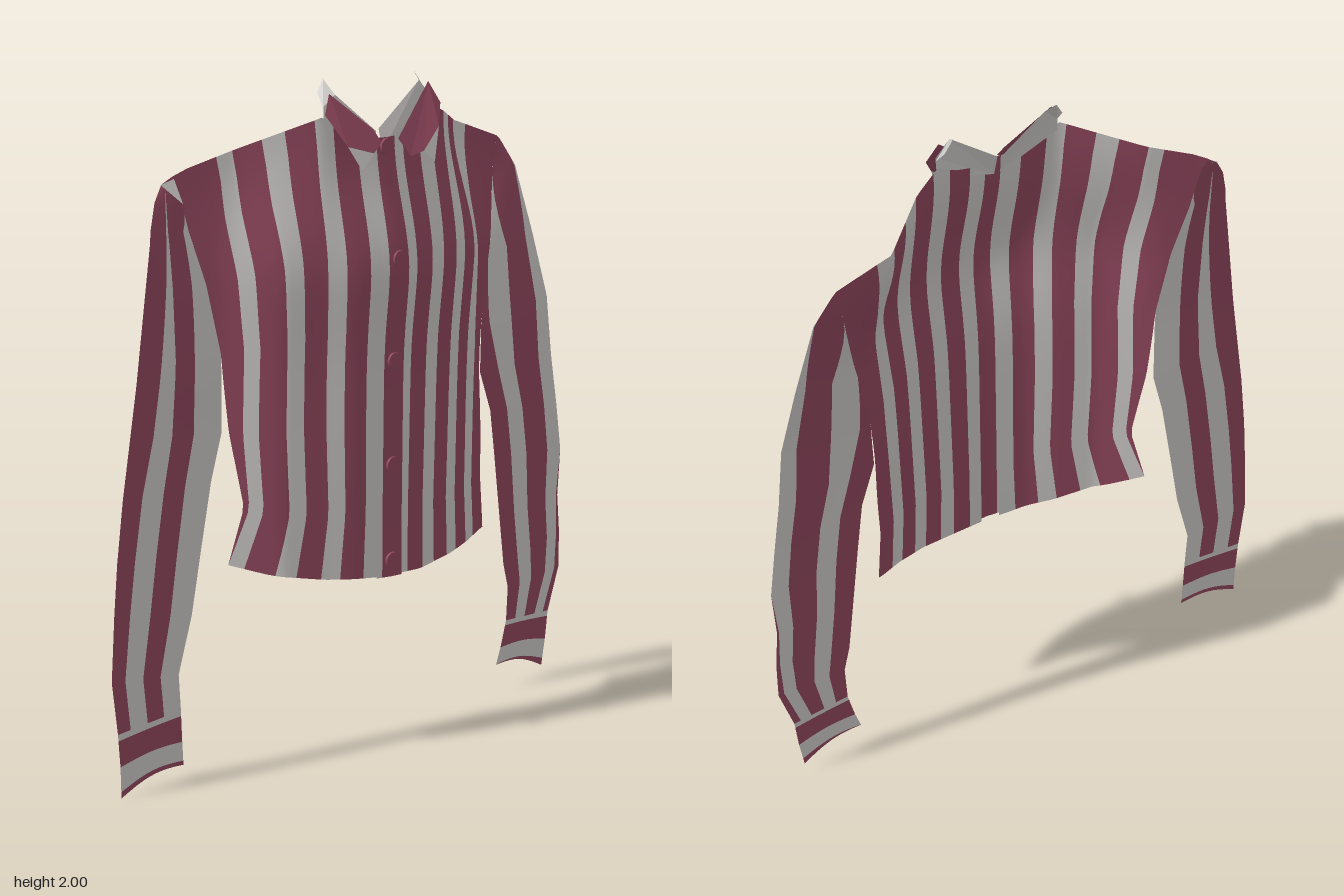
import * as THREE from 'three';

const red = new THREE.MeshStandardMaterial({ color: 0x90475e, side: THREE.DoubleSide });
red.name = 'wine red';
const white = new THREE.MeshStandardMaterial({ color: 0xcdcac8, side: THREE.DoubleSide });
white.name = 'off white';
const mats = [red, white];
const R = 0, W = 1;

const { lerp, clamp, smoothstep } = THREE.MathUtils;

// piecewise linear lookup in a table of [key, value]
function look(table, k) {
  if (k <= table[0][0]) return table[0][1];
  for (let i = 1; i < table.length; i++) {
    const [a, va] = table[i - 1], [b, vb] = table[i];
    if (k <= b) return lerp(va, vb, (k - a) / (b - a));
  }
  return table[table.length - 1][1];
}

// value at v in a list of evenly spaced values
function along(list, v) {
  if (list.length === 1) return list[0];
  const t = v * (list.length - 1), i = Math.min(Math.floor(t), list.length - 2);
  return clamp(lerp(list[i], list[i + 1], t - i), 0, 1);
}

// cloth sheet: point(u, v) gives the surface, each stripe edge is a list of u from v=0 to v=1
function sheet(name, point, first, bounds, rows = 24, sub = 3) {
  const edges = [[0], ...bounds, [1]], pos = [], index = [];
  const cols = (edges.length - 1) * sub;
  const geo = new THREE.BufferGeometry();
  for (let c = 0; c <= cols; c++) {
    const s = Math.min(Math.floor(c / sub), edges.length - 2), f = c / sub - s;
    for (let r = 0; r <= rows; r++) {
      const v = r / rows;
      pos.push(...point(lerp(along(edges[s], v), along(edges[s + 1], v), f), v));
    }
  }
  for (let c = 0; c < cols; c++) {
    const start = index.length;
    for (let r = 0; r < rows; r++) {
      const a = c * (rows + 1) + r, b = a + rows + 1;
      index.push(a, b, b + 1, a, b + 1, a + 1);
    }
    geo.addGroup(start, index.length - start, (first + Math.floor(c / sub)) % 2);
  }
  geo.setAttribute('position', new THREE.Float32BufferAttribute(pos, 3));
  geo.setIndex(index);
  geo.computeVertexNormals();
  const mesh = new THREE.Mesh(geo, mats);
  mesh.name = name;
  return mesh;
}

// small convex piece of cloth as a fan of triangles
function patch(name, mat, pts) {
  const pos = [];
  for (let i = 1; i < pts.length - 1; i++) pos.push(...pts[0], ...pts[i], ...pts[i + 1]);
  const geo = new THREE.BufferGeometry();
  geo.setAttribute('position', new THREE.Float32BufferAttribute(pos, 3));
  geo.computeVertexNormals();
  const mesh = new THREE.Mesh(geo, mat);
  mesh.name = name;
  return mesh;
}

// body outline, and depth across x at the hem, chest and shoulder
const hem = [[-0.45, 0.63], [-0.35, 0.595], [-0.2, 0.565], [-0.05, 0.55], [0.12, 0.545], [0.3, 0.565], [0.44, 0.585]];
const topEdge = [[-0.57, 1.755], [-0.53, 1.775], [-0.4, 1.82], [-0.19, 1.905], [-0.15, 1.87], [0, 1.82],
  [0.15, 1.87], [0.21, 1.91], [0.28, 1.88], [0.5, 1.8], [0.62, 1.755]];
const hemZ = [[-0.45, -0.078], [-0.4, -0.045], [-0.32, 0.01], [-0.2, 0.05], [-0.12, 0.08], [0, 0.1], [0.12, 0.102], [0.25, 0.085],
  [0.35, 0.055], [0.44, 0.015]];
const chestZ = [[-0.6, -0.155], [-0.45, -0.088], [-0.4, -0.048], [-0.32, 0.012], [-0.2, 0.05], [-0.12, 0.085], [0, 0.105],
  [0.12, 0.105], [0.25, 0.08], [0.4, 0.02], [0.47, -0.04], [0.6, -0.1]];
const shoulderZ = [[-0.6, -0.155], [-0.4, -0.085], [-0.2, 0.04], [0, 0.07], [0.2, 0.02], [0.3, -0.02], [0.46, -0.15], [0.62, -0.137]];

function bodyZ(x, y) {
  const low = lerp(look(hemZ, x), look(chestZ, x), smoothstep(y, 0.6, 1.15));
  const s = smoothstep(y, 1.42, look(topEdge, x));
  const bulge = 0.03 * Math.exp(-(((y - 1.5) / 0.2) ** 2)) * Math.max(0, 1 - Math.abs(x) / 0.45);
  return lerp(low, look(shoulderZ, x), s) + bulge;
}

function bodyPoint(inner, outer) {
  const [y0, x0] = outer[0], [y1, x1] = outer[outer.length - 1];
  return (u, v) => {
    const x = lerp(inner, look(outer, lerp(y0, y1, v)), u);
    const y = lerp(look(hem, lerp(inner, x0, u)), look(topEdge, lerp(inner, x1, u)), v);
    return [x, y, bodyZ(x, y)];
  };
}

// sleeve rows are [inner x, inner y, outer x, outer y] from the bottom up;
// the inner edge joins the body above the armpit
function sleevePoint(rows, innerZ, outerZ) {
  return (u, v) => {
    const t = v * (rows.length - 1), i = Math.min(Math.floor(t), rows.length - 2);
    const [xi, yi, xo, yo] = rows[i].map((a, k) => lerp(a, rows[i + 1][k], t - i));
    const zi = lerp(innerZ, bodyZ(xi, yi), smoothstep(yi, 1.0, 1.25));
    return [lerp(xi, xo, u), lerp(yi, yo, u), lerp(zi, look(outerZ, yo), u)];
  };
}

// cuff: stripes run across, lower edge bows up
function cuffPoint(rows, innerZ, outerZ) {
  const base = sleevePoint(rows, innerZ, outerZ);
  return (u, v) => {
    const [x, y, z] = base(v, u);
    return [x, y + 0.02 * Math.sin(Math.PI * v) * (1 - u), z];
  };
}

export function createModel() {
  const g = new THREE.Group();
  g.name = 'stripedShirt';

  // front panels
  g.add(sheet('rightPanel',
    bodyPoint(-0.03, [[0.63, -0.45], [0.8, -0.41], [1.02, -0.44], [1.25, -0.455], [1.45, -0.49], [1.6, -0.53], [1.7, -0.55], [1.755, -0.57]]),
    W, [[0.13, 0.1], [0.3, 0.24], [0.43, 0.34], [0.6, 0.47], [0.735, 0.57], [0.91, 0.7], [1, 0.78]], 36));
  g.add(sheet('leftPanel',
    bodyPoint(0.03, [[0.585, 0.445], [0.75, 0.435], [1.06, 0.47], [1.2, 0.485], [1.4, 0.53], [1.61, 0.59], [1.755, 0.62]]),
    W, [[0.1, 0.1], [0.24, 0.23], [0.36, 0.34], [0.5, 0.47], [0.61, 0.58], [0.74, 0.7], [0.85, 0.8]], 36));

  // button placket
  g.add(sheet('placket', (u, v) => {
    const x = lerp(-0.05, 0.037, u), y = lerp(look(hem, x), 1.835, v);
    return [x, y, bodyZ(x, y) + 0.012];
  }, W, [[0.22]], 32, 2));

  // sleeves
  const rightOuterZ = [[0, -0.102], [1.2, -0.108], [1.6, -0.125], [1.74, -0.155]];
  const leftOuterZ = [[0, -0.04], [0.9, -0.048], [1.25, -0.065], [1.66, -0.122], [1.745, -0.14]];
  g.add(sheet('rightSleeve', sleevePoint([
    [-0.61, 0.22, -0.825, 0.2], [-0.615, 0.33, -0.84, 0.36], [-0.565, 0.5, -0.825, 0.55], [-0.53, 0.68, -0.81, 0.7],
    [-0.49, 0.88, -0.785, 0.88], [-0.45, 1.02, -0.755, 1.05], [-0.455, 1.25, -0.72, 1.25], [-0.49, 1.45, -0.685, 1.45],
    [-0.53, 1.6, -0.655, 1.62], [-0.55, 1.7, -0.63, 1.69], [-0.57, 1.755, -0.6, 1.735]], -0.1, rightOuterZ),
    W, [[0.27, 0.28, 0.3, 0.32, 0.15, -0.6], [0.53, 0.54, 0.54, 0.55, 0.55, 0.55], [0.8, 0.8, 0.78, 0.72, 0.6, 0.55]], 40));
  g.add(sheet('leftSleeve', sleevePoint([
    [0.6, 0.23, 0.785, 0.22], [0.605, 0.34, 0.83, 0.36], [0.585, 0.42, 0.83, 0.48], [0.565, 0.58, 0.82, 0.6],
    [0.54, 0.78, 0.83, 0.75], [0.52, 0.93, 0.81, 0.9], [0.475, 1.06, 0.79, 1.06], [0.485, 1.2, 0.775, 1.25],
    [0.53, 1.4, 0.735, 1.45], [0.59, 1.61, 0.685, 1.66], [0.62, 1.755, 0.635, 1.745]], -0.038, leftOuterZ),
    R, [[0.22, 0.25, 0.25, 0.25, 0, 0], [0.44, 0.48, 0.48, 0.48, 0.42, -0.35],
      [0.68, 0.78, 0.8, 0.82, 0.84, 1.1], [0.88, 0.95, 1, 1, 1, 1]], 40));
  g.add(patch('shoulderWedge', white, [[-0.605, 1.735, -0.15], [-0.553, 1.68, -0.119], [-0.57, 1.75, -0.136]]));

  // cuffs
  g.add(sheet('rightCuff', cuffPoint([[-0.605, 0.05, -0.82, 0.005], [-0.608, 0.13, -0.82, 0.1], [-0.61, 0.22, -0.825, 0.2]],
    -0.1, rightOuterZ), R, [[0.08, 0.1], [0.45, 0.5], [0.9]], 10, 2));
  g.add(sheet('leftCuff', cuffPoint([[0.56, 0.09, 0.76, 0.04], [0.58, 0.15, 0.775, 0.13], [0.6, 0.23, 0.785, 0.22]],
    -0.038, leftOuterZ), R, [[0.01, 0.13], [0.45, 0.48], [0.9]], 10, 2));

  // collar: inner bands, ends turning back, leaves and pale tips
  g.add(patch('rightCollarBand', white, [[-0.02, 1.79, 0.068], [-0.01, 1.85, 0.05], [-0.14, 1.96, 0.03], [-0.185, 1.93, 0.035], [-0.19, 1.88, 0.042]]));
  g.add(patch('rightCollarEnd', white, [[-0.185, 1.92, 0.035], [-0.14, 1.96, 0.03], [-0.147, 2, -0.015], [-0.17, 1.965, -0.01]]));
  g.add(patch('leftCollarBand', white, [[0, 1.79, 0.068], [0, 1.855, 0.05], [0.165, 1.975, 0.03], [0.21, 1.93, 0.03], [0.21, 1.88, 0.025]]));
  g.add(patch('leftCollarEnd', white, [[0.21, 1.92, 0.03], [0.165, 1.975, 0.03], [0.18, 2, -0.012], [0.205, 1.96, -0.008]]));
  g.add(patch('rightCollarLeaf', red, [[-0.165, 1.965, 0.035], [-0.195, 1.91, 0.055], [-0.155, 1.825, 0.105],
    [-0.07, 1.8, 0.115], [-0.03, 1.825, 0.1], [-0.04, 1.86, 0.075]]));
  g.add(patch('rightCollarTip', white, [[-0.155, 1.825, 0.105], [-0.12, 1.757, 0.125], [-0.07, 1.8, 0.115]]));
  g.add(patch('leftCollarLeaf', red, [[0.2, 1.97, 0.03], [0.225, 1.91, 0.055], [0.185, 1.85, 0.095],
    [0.11, 1.79, 0.118], [0.06, 1.78, 0.12], [0.03, 1.83, 0.1]]));
  g.add(patch('leftCollarTip', white, [[0.185, 1.85, 0.095], [0.145, 1.757, 0.125], [0.11, 1.79, 0.118]]));

  // buttons
  for (const y of [1.81, 1.5, 1.2, 0.89, 0.6]) {
    const button = new THREE.Mesh(new THREE.CylinderGeometry(0.024, 0.024, 0.008, 16), red);
    button.rotation.x = Math.PI / 2;
    button.position.set(0, y, bodyZ(0, y) + 0.016);
    button.name = 'button';
    g.add(button);
  }
  return g;
}
